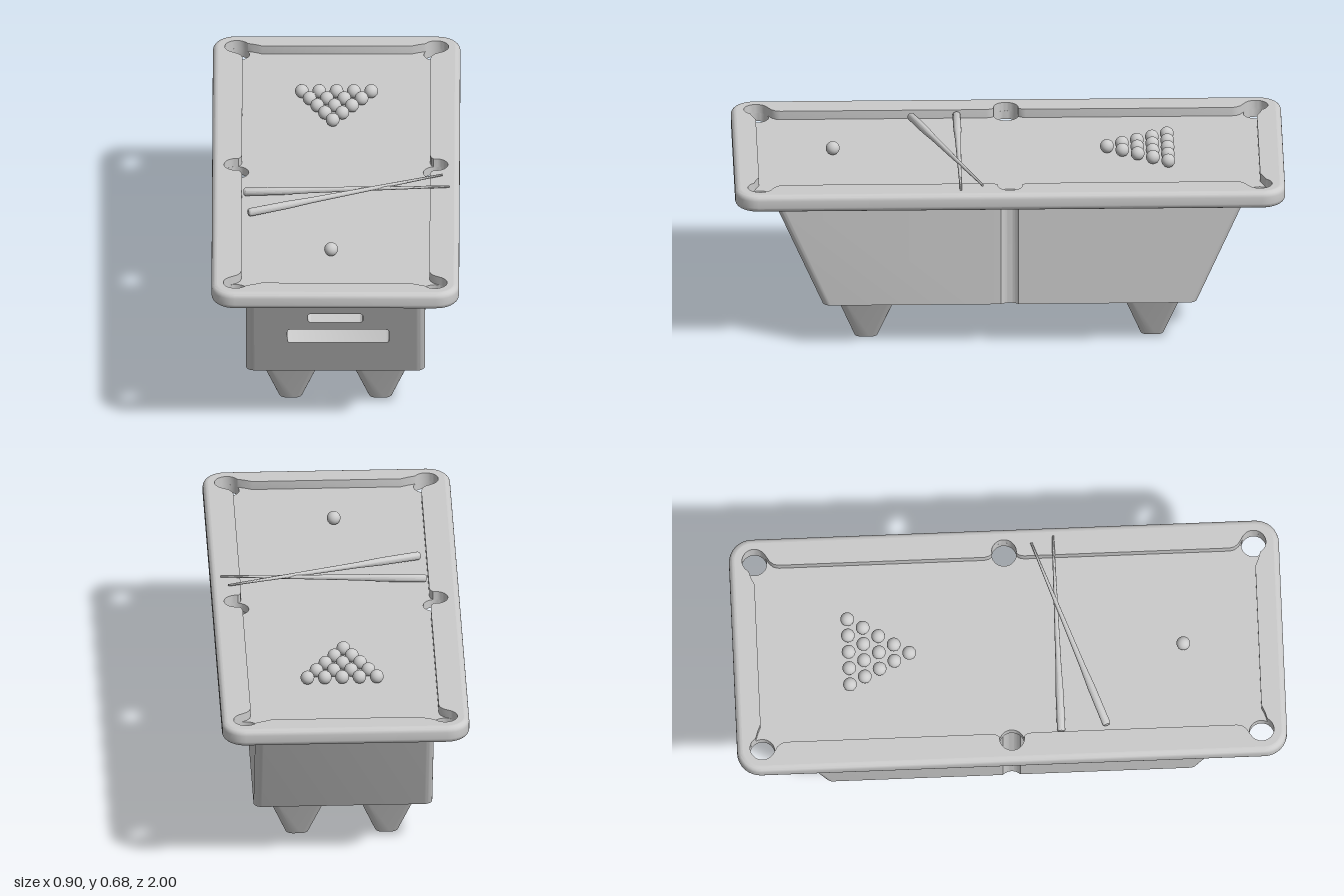
import * as THREE from 'three';
import { toCreasedNormals } from 'three/addons/utils/BufferGeometryUtils.js';

const material = new THREE.MeshStandardMaterial({ color: 0xcccccc, side: THREE.DoubleSide });
const V2 = (x, y) => new THREE.Vector2(x, y);
const RIM = 0.66, BED = 0.627, UNDER = 0.595, BASE = 0.175;

function add(parent, name, geometry) {
  const mesh = new THREE.Mesh(geometry, material);
  mesh.name = name;
  parent.add(mesh);
  return mesh;
}

// Points on an arc, angles in degrees
function arc(cx, cy, r, from, to, n) {
  return Array.from({ length: n + 1 }, (_, i) => {
    const a = THREE.MathUtils.degToRad(from + (to - from) * i / n);
    return V2(cx + r * Math.cos(a), cy + r * Math.sin(a));
  });
}

// Rounded rectangle outline
function roundRect(hx, hy, r, cx = 0, cy = 0) {
  return [[1, 1, 0], [-1, 1, 90], [-1, -1, 180], [1, -1, 270]].flatMap(([sx, sy, a]) =>
    arc(cx + sx * (hx - r), cy + sy * (hy - r), r, a, a + 90, 8));
}

// Repeat a quarter outline in all four quadrants, starting at +x +z
function mirror4(q) {
  const flip = (list, sx, sy) => list.map(p => V2(p.x * sx, p.y * sy));
  const back = [...q].reverse();
  return [...flip(back, 1, 1), ...flip(q, 1, -1), ...flip(back, -1, -1), ...flip(q, -1, 1)];
}

// Outline on the ground plane lifted to height y
const level = (points, y) => points.map(p => new THREE.Vector3(p.x, y, p.y));

// Skin between successive cross-sections
function loft(loops, closed = true) {
  const n = loops[0].length, pos = [], index = [];
  loops.forEach(l => l.forEach(p => pos.push(p.x, p.y, p.z)));
  for (let k = 0; k < loops.length - 1; k++) {
    for (let i = 0; i < (closed ? n : n - 1); i++) {
      const a = k * n + i, b = k * n + (i + 1) % n;
      index.push(a, a + n, b, b, a + n, b + n);
    }
  }
  const g = new THREE.BufferGeometry();
  g.setAttribute('position', new THREE.Float32BufferAttribute(pos, 3));
  g.setIndex(index);
  return toCreasedNormals(g, 0.6);
}

function plate(outline, holes = []) {
  const shape = new THREE.Shape(outline);
  shape.holes = holes.map(h => new THREE.Path(h));
  return new THREE.ShapeGeometry(shape);
}

// Horizontal plate facing up or down
const flat = (outline, holes, y, up = true) =>
  plate(outline, holes).rotateX(up ? -Math.PI / 2 : Math.PI / 2).translate(0, y, 0);

function makeTop() {
  const top = new THREE.Group();
  top.name = 'tableTop';
  const r = 0.045, px = 0.362, pz = 0.908, bevel = 0.02;
  const outer = inset => roundRect(0.45 - inset, 1 - inset, 0.085 - inset);

  // Rounded outer edge
  const profile = [
    ...arc(bevel, UNDER + bevel, bevel, 270, 180, 5),
    ...arc(bevel, RIM - bevel, bevel, 180, 90, 5),
  ];
  add(top, 'outerEdge', loft(profile.map(p => level(outer(p.x), p.y))));

  // Cushion outline with flared pocket jaws
  const cushion = mirror4([
    ...arc(px, 0, r, 6, 100, 10), V2(0.346, 0.055), V2(0.342, 0.072),
    V2(0.342, 0.82), V2(0.346, 0.838), V2(0.358, 0.853),
    ...arc(px, pz, r, -60, 150, 20), V2(0.298, 0.923), V2(0.27, 0.911),
  ]);
  const pockets = [-1, 1].flatMap(s => [-pz, 0, pz].map(z => arc(s * px, z, r, 0, 348.75, 31)));
  add(top, 'rail', flat(outer(bevel), [cushion], RIM));
  add(top, 'cushionWall', loft([level(cushion, RIM), level(cushion, BED)]));
  add(top, 'bed', flat(roundRect(0.42, 0.97, 0.055), pockets, BED));
  add(top, 'underside', flat(outer(bevel), pockets, UNDER, false));
  pockets.forEach(p => add(top, 'pocket', loft([level(p, BED), level(p, UNDER)])));
  return top;
}

function makeBody() {
  const body = new THREE.Group();
  body.name = 'body';
  const hx = 0.325, r = 0.03;
  const endZ = y => 0.68 + (y - BASE) * 0.185 / (UNDER - BASE);
  const section = y => mirror4([
    ...arc(0.357, 0, 0.045, 176, 135.3, 7),
    ...arc(hx - r, endZ(y) - r, r, 0, 90, 8),
  ]);

  // Sides and back, with a groove below each middle pocket
  add(body, 'sides', loft([level(section(BASE), BASE), level(section(UNDER), UNDER)], false));
  add(body, 'bottom', flat(section(BASE), [], BASE, false));

  // Sloping front with two ball return slots
  const slots = [
    { cx: 0, cy: 0.457, hx: 0.1, hy: 0.023 },
    { cx: 0.01, cy: 0.36, hx: 0.185, hy: 0.035 },
  ];
  const holes = slots.map(s => roundRect(s.hx, s.hy, 0.012, s.cx, s.cy));
  const w = hx - r;
  const panel = plate([V2(-w, BASE), V2(w, BASE), V2(w, UNDER), V2(-w, UNDER)], holes);
  const pos = panel.attributes.position;
  for (let i = 0; i < pos.count; i++) pos.setZ(i, endZ(pos.getY(i)));
  panel.computeVertexNormals();
  add(body, 'frontPanel', panel);
  holes.forEach((h, i) => {
    const depth = endZ(slots[i].cy) - 0.12;
    const at = f => h.map(p => new THREE.Vector3(p.x, p.y, f(p.y)));
    add(body, 'slotWall', loft([at(endZ), at(() => depth)]));
    add(body, 'slotBack', plate(h).translate(0, 0, depth));
  });
  return body;
}

function makeLeg(x, z) {
  const leg = new THREE.Group();
  leg.name = 'leg';
  const foot = roundRect(0.042, 0.042, 0.028);
  add(leg, 'legSides', loft([level(roundRect(0.108, 0.108, 0.028), BASE), level(foot, 0)]));
  add(leg, 'foot', flat(foot, [], 0, false));
  leg.position.set(x, 0, z);
  return leg;
}

function makeCue(parent, from, to) {
  const a = new THREE.Vector3(...from), d = new THREE.Vector3(...to).sub(a);
  const L = d.length();
  const profile = [[0, 0], [0.011, 0], [0.015, 0.006], [0.0145, 0.15], [0.011, 0.24],
    [0.008, 0.45], [0.004, L], [0, L]].map(p => V2(...p));
  const cue = add(parent, 'cue', toCreasedNormals(new THREE.LatheGeometry(profile, 20), 0.6));
  cue.position.copy(a);
  cue.quaternion.setFromUnitVectors(new THREE.Vector3(0, 1, 0), d.normalize());
}

export function createModel() {
  const model = new THREE.Group();
  model.name = 'poolTable';
  model.add(makeTop(), makeBody());
  for (const x of [-0.163, 0.163]) for (const z of [-0.52, 0.52]) model.add(makeLeg(x, z));

  // Racked balls and the cue ball
  const ballGeometry = new THREE.SphereGeometry(0.025, 24, 16);
  const ball = (name, x, z) => add(model, name, ballGeometry).position.set(x, BED + 0.025, z);
  for (let row = 0; row < 5; row++) {
    for (let i = 0; i <= row; i++) {
      ball('rackBall', -0.013 + row * 0.0033 + (i - row / 2) * 0.063, -0.36 - row * 0.055);
    }
  }
  ball('cueBall', -0.016, 0.637);

  // Crossed cues
  makeCue(model, [-0.335, 0.643, 0.18], [0.413, 0.666, 0.18]);
  makeCue(model, [-0.318, 0.647, 0.347], [0.387, 0.672, 0.1]);
  return model;
}
